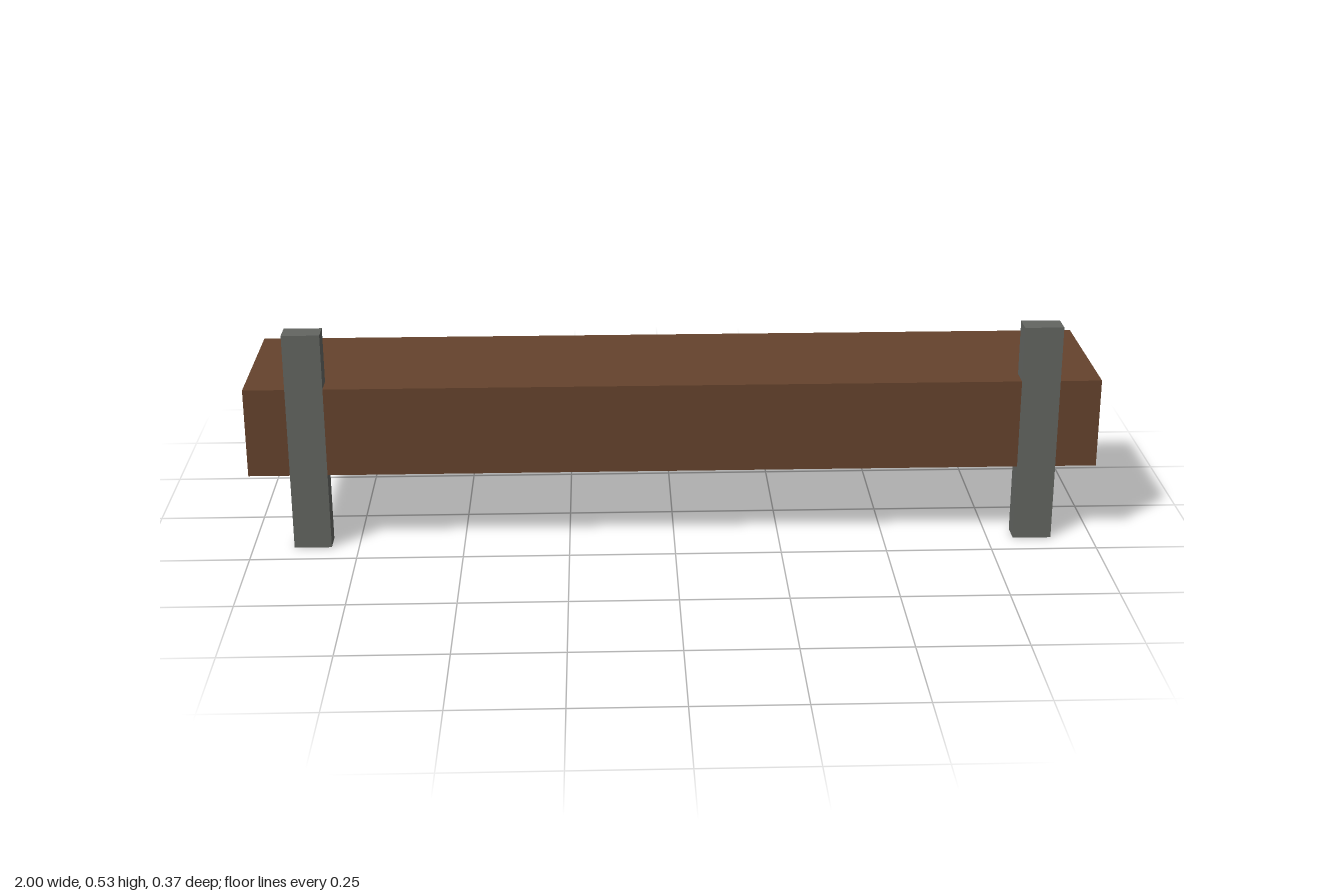
import * as THREE from 'three';

export function createModel() {
  const model = new THREE.Group();
  model.name = 'shelf';
  const wood = new THREE.MeshStandardMaterial({ color: 0x65432d });
  wood.name = 'brown wood';
  const metal = new THREE.MeshStandardMaterial({ color: 0x636561 });
  metal.name = 'grey metal';

  // box given by its extents on each axis
  function box(name, material, [x0, x1], [y0, y1], [z0, z1]) {
    const mesh = new THREE.Mesh(new THREE.BoxGeometry(x1 - x0, y1 - y0, z1 - z0), material);
    mesh.position.set((x0 + x1) / 2, (y0 + y1) / 2, (z0 + z1) / 2);
    mesh.name = name;
    model.add(mesh);
  }

  const front = [0.132, 0.185];
  const posts = [[-0.903, -0.815], [0.812, 0.903]];

  // thick top board
  box('topBoard', wood, [-1, 1], [0.258, 0.399], [-0.185, 0.132]);

  // front rail, split where the posts pass through it flush
  const rails = [[-1, posts[0][0]], [posts[0][1], posts[1][0]], [posts[1][1], 1]];
  for (const span of rails) box('frontRail', wood, span, [0.185, 0.399], front);

  // upright posts with an arm under the board
  for (const span of posts) {
    box('post', metal, span, [0, 0.531], front);
    box('supportArm', metal, span, [0.185, 0.258], [-0.144, 0.132]);
  }
  return model;
}
